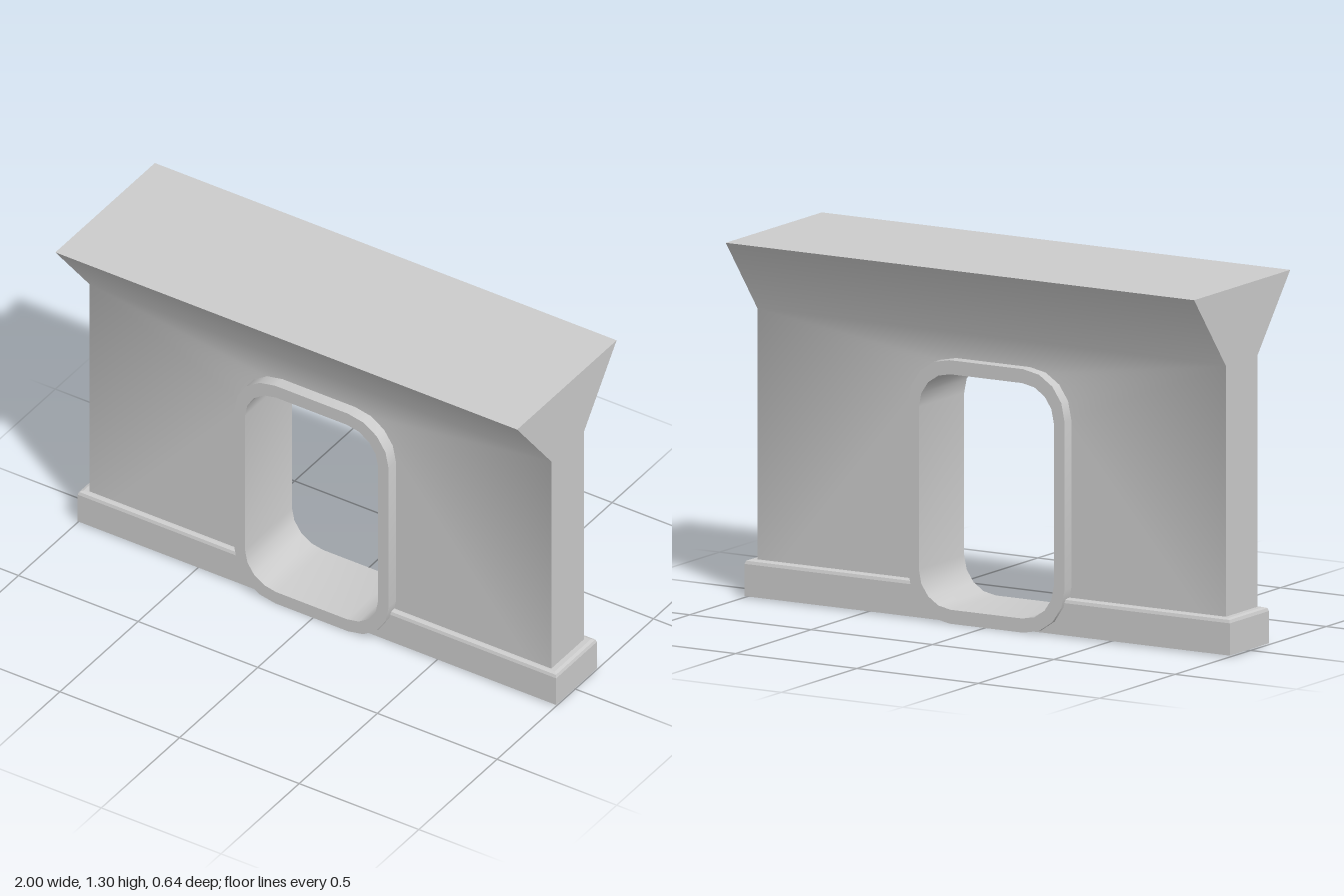
import * as THREE from 'three';
import { toCreasedNormals } from 'three/addons/utils/BufferGeometryUtils.js';

const material = new THREE.MeshStandardMaterial({ color: 0xcccccc });
const CX = -0.006;   // centre of the opening
const NECK = 1.03;   // height where the wall starts to flare

function part(name, geometry) {
  const mesh = new THREE.Mesh(geometry, material);
  mesh.name = name;
  return mesh;
}

// Rounded rectangle as a counter-clockwise list of points
function roundedLoop(halfWidth, y0, y1, r, segments = 4) {
  const points = [];
  const corners = [[1, y1 - r, 0], [-1, y1 - r, 1], [-1, y0 + r, 2], [1, y0 + r, 3]];
  for (const [side, cy, quarter] of corners) {
    for (let i = 0; i <= segments; i++) {
      const a = (quarter + i / segments) * Math.PI / 2;
      points.push(new THREE.Vector2(CX + side * (halfWidth - r) + r * Math.cos(a), cy + r * Math.sin(a)));
    }
  }
  return points;
}

// Extrude an x-y shape between two z positions
function slab(shape, z0, z1) {
  return new THREE.ExtrudeGeometry(shape, { depth: z1 - z0, bevelEnabled: false }).translate(0, 0, z0);
}

function polygon(pairs) {
  return new THREE.Shape(pairs.map(([x, y]) => new THREE.Vector2(x, y)));
}

// Blend the normals at the neck so wall and flare shade as one surface
function softenNeck(geometry) {
  const p = geometry.attributes.position, n = geometry.attributes.normal;
  for (let i = 0; i < p.count; i++) {
    if (Math.abs(p.getY(i) - NECK) < 0.001 && Math.abs(n.getZ(i)) > 0.5) {
      n.setXYZ(i, 0, -0.33, 0.944 * Math.sign(n.getZ(i)));
    }
  }
  return geometry;
}

// Top strip of the plinth with bevelled edges, lofted from shrinking rectangles
function plinthCap(x0, x1, z0, z1, outerSide) {
  const levels = [[0.12, 0], [0.131, 0.004], [0.135, 0.015]];
  const position = [], index = [];
  for (const [y, inset] of levels) {
    const a = outerSide < 0 ? x0 + inset : x0;
    const b = outerSide > 0 ? x1 - inset : x1;
    position.push(a, y, z1 - inset, b, y, z1 - inset, b, y, z0 + inset, a, y, z0 + inset);
  }
  for (let l = 0; l < levels.length - 1; l++) {
    for (let i = 0; i < 4; i++) {
      const a = l * 4 + i, b = l * 4 + (i + 1) % 4;
      index.push(a, b, b + 4, a, b + 4, a + 4);
    }
  }
  index.push(8, 9, 10, 8, 10, 11);
  const g = new THREE.BufferGeometry();
  g.setAttribute('position', new THREE.Float32BufferAttribute(position, 3));
  g.setIndex(index);
  return toCreasedNormals(g, 0.3);
}

export function createModel() {
  const model = new THREE.Group();
  model.name = 'wallWithOpening';
  const cut = roundedLoop(0.3, 0.025, 0.915, 0.15); // runs hidden inside the frame

  // Upright wall, pierced by the opening
  const wall = polygon([[-0.965, 0.01], [0.965, 0.01], [0.965, NECK], [-0.965, NECK]]);
  wall.holes.push(new THREE.Path(cut));
  model.add(part('wall', softenNeck(slab(wall, -0.108, 0.1))));

  // Flared top, a trapezoid drawn in z-y and run along x
  const flare = polygon([[-0.1, NECK], [0.108, NECK], [0.318, 1.3], [-0.318, 1.3]]);
  const flareGeometry = slab(flare, -0.965, 0.965).rotateY(Math.PI / 2);
  model.add(part('flaredTop', softenNeck(flareGeometry)));

  // Rounded frame lining the opening
  const ring = new THREE.Shape(roundedLoop(0.322, 0, 0.94, 0.17));
  ring.holes.push(new THREE.Path(roundedLoop(0.278, 0.05, 0.89, 0.13)));
  model.add(part('openingFrame', toCreasedNormals(slab(ring, -0.153, 0.147), 0.6)));

  // Plinth, notched where the opening passes through it
  const notch = cut.filter((p) => p.y < 0.115).sort((a, b) => b.x - a.x).map((p) => [p.x, p.y]);
  const plinth = polygon([
    [-1, 0.12], [-1, 0.005], [1, 0.005], [1, 0.12],
    [CX + 0.29, 0.12], ...notch, [CX - 0.29, 0.12],
  ]);
  model.add(part('plinth', slab(plinth, -0.138, 0.122)));
  model.add(part('plinthCapLeft', plinthCap(CX + 0.29, 1, -0.138, 0.122, 1)));
  model.add(part('plinthCapRight', plinthCap(-1, CX - 0.29, -0.138, 0.122, -1)));

  return model;
}
